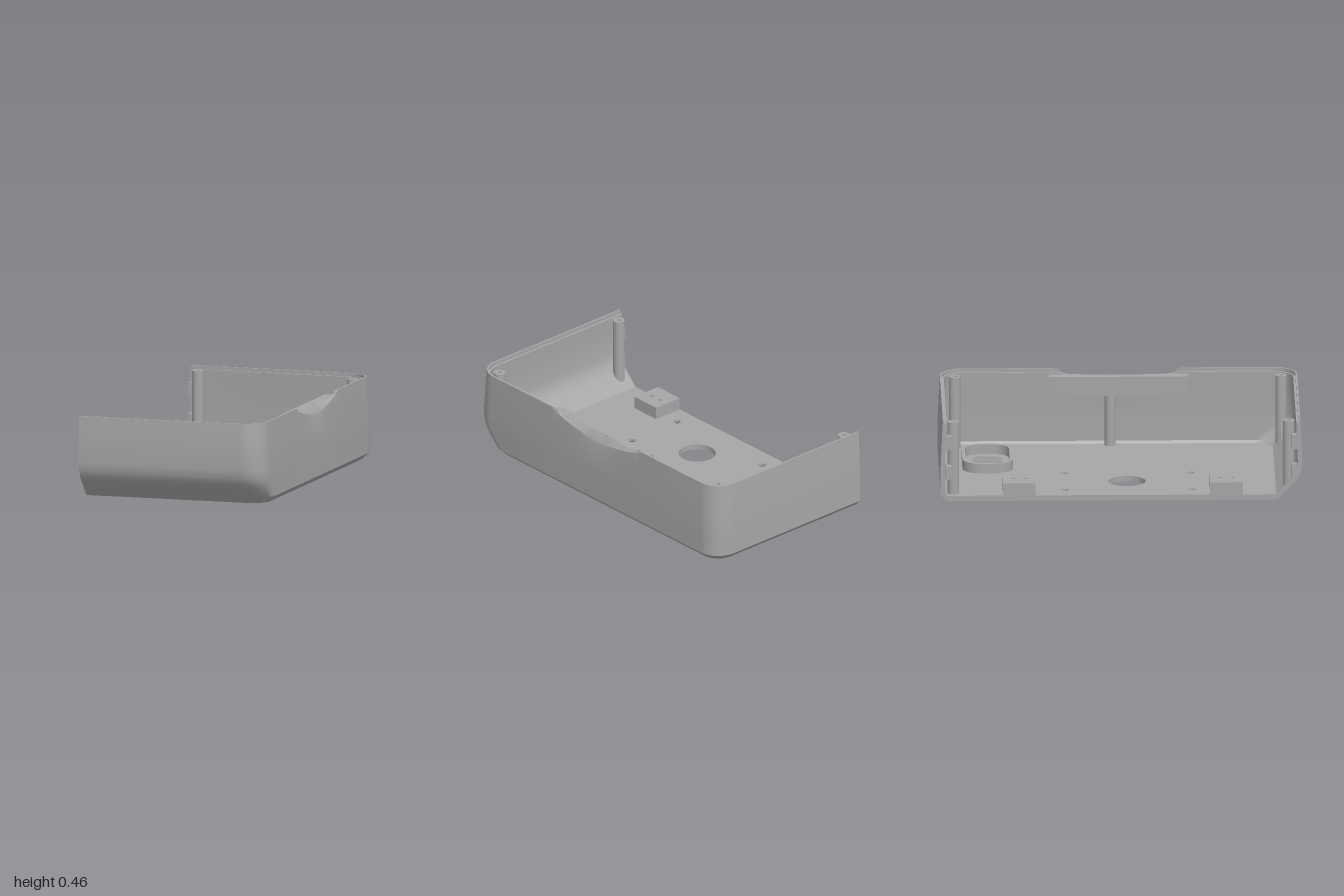
import * as THREE from 'three';
import { toCreasedNormals } from 'three/addons/utils/BufferGeometryUtils.js';

const X0 = -0.535; // open side of the half shell
const grey = new THREE.MeshStandardMaterial({ color: 0xa6a6a6, side: THREE.DoubleSide });
grey.name = 'grey plastic';

// Wall cross-section, up the outside and down the inside: [y, x side, z front, z back, corner radius]
const section = [
  [0, 0.5, 0.86, -0.965, 0.1], [0.035, 0.535, 0.895, -1, 0.13], [0.1, 0.535, 0.958, -1, 0.13],
  [0.125, 0.535, 0.977, -1, 0.13], [0.155, 0.535, 0.991, -1, 0.13], [0.2, 0.535, 1, -1, 0.13],
  [0.38, 0.527, 0.993, -0.992, 0.13], [0.46, 0.523, 0.988, -0.988, 0.13],
  [0.46, 0.513, 0.978, -0.978, 0.12], [0.44, 0.513, 0.978, -0.978, 0.12],
  [0.44, 0.501, 0.966, -0.966, 0.105], [0.38, 0.503, 0.968, -0.968, 0.105],
  [0.2, 0.51, 0.975, -0.975, 0.105], [0.165, 0.51, 0.967, -0.975, 0.105],
  [0.135, 0.51, 0.953, -0.975, 0.105], [0.11, 0.51, 0.935, -0.975, 0.105],
  [0.045, 0.51, 0.87, -0.975, 0.105], [0.03, 0.5, 0.855, -0.965, 0.1],
];
const TOP = 7;

// Finger notch in the rim and the scoop below it
const SCOOP = 0.36;
function notch(z) {
  const s = THREE.MathUtils.clamp((Math.abs(z) - 0.29) / 0.04, 0, 1);
  return 0.43 + 0.03 * (1 - Math.sqrt(1 - s * s));
}
const scoopY = (z) => 0.39 + 0.06 * (z / SCOOP) ** 2;
const scoopX = (z) => 0.523 - 0.035 * (1 - (z / SCOOP) ** 2);

// Points of one level, running from the front wall round the side to the back wall
function outline([y, xr, zf, zb, r], k) {
  const pts = [[X0, y, zf]];
  const corner = (zc, from) => {
    for (let i = 0; i <= 10; i++) {
      const a = from - (i / 10) * Math.PI / 2;
      pts.push([xr - r + r * Math.cos(a), y, zc + r * Math.sin(a)]);
    }
  };
  corner(zf - r, Math.PI / 2);
  for (let i = 0; i <= 48; i++) {
    const z = SCOOP * (1 - i / 24);
    const inside = i > 0 && i < 48;
    let px = xr, py = y;
    if (inside && k === TOP) py = Math.min(notch(z), scoopY(z));
    if (inside && (k === TOP + 1 || k === TOP + 2)) {
      py = Math.min(y, notch(z));
      px = Math.min(xr, scoopX(z));
    }
    if (inside && k === TOP + 3) py = Math.min(y, notch(z), scoopY(z));
    pts.push([px, py, z]);
  }
  corner(zb + r, 0);
  pts.push([X0, y, zb]);
  return pts;
}

function wallGeometry() {
  const rows = section.map(outline);
  const pos = [];
  const tri = (a, b, c) => {
    const [A, B, C] = [a, b, c].map((p) => new THREE.Vector3(...p));
    if (B.sub(A).cross(C.sub(A)).length() > 1e-9) pos.push(...a, ...b, ...c);
  };
  const n = rows[0].length;
  for (let k = 0; k < rows.length - 1; k++) {
    for (let i = 0; i < n - 1; i++) {
      const a = rows[k][i], b = rows[k][i + 1], c = rows[k + 1][i + 1], d = rows[k + 1][i];
      tri(a, b, c);
      tri(a, c, d);
    }
  }
  // cut faces where the walls stop at the open side
  for (const i of [0, n - 1]) {
    const loop = rows.map((row) => row[i]);
    const faces = THREE.ShapeUtils.triangulateShape(loop.map((p) => new THREE.Vector2(p[2], p[1])), []);
    for (const [a, b, c] of faces) {
      const A = loop[a], B = loop[b], C = loop[c];
      const turn = (B[1] - A[1]) * (C[2] - A[2]) - (B[2] - A[2]) * (C[1] - A[1]);
      if (turn < 0) tri(A, B, C); else tri(A, C, B);
    }
  }
  const g = new THREE.BufferGeometry();
  g.setAttribute('position', new THREE.Float32BufferAttribute(pos, 3));
  return toCreasedNormals(g, Math.PI / 7);
}

// Plan shapes take (x, z) points and are extruded upwards
const plan = (pts, Type = THREE.Shape) => new Type(pts.map(([x, z]) => new THREE.Vector2(x, -z)));
const rect = (x0, x1, z0, z1, Type) => plan([[x0, z0], [x1, z0], [x1, z1], [x0, z1]], Type);
function disc(x, z, r) {
  return new THREE.Path().absarc(x, -z, r, 0, Math.PI * 2, true);
}
function roundRect(x0, x1, z0, z1, r, Type) {
  const p = new Type();
  p.absarc(x1 - r, -z0 - r, r, 0, Math.PI / 2);
  p.absarc(x0 + r, -z0 - r, r, Math.PI / 2, Math.PI);
  p.absarc(x0 + r, -z1 + r, r, Math.PI, Math.PI * 1.5);
  p.absarc(x1 - r, -z1 + r, r, Math.PI * 1.5, Math.PI * 2);
  p.closePath();
  return p;
}
function slab(shape, y0, y1) {
  const g = new THREE.ExtrudeGeometry(shape, { depth: y1 - y0, bevelEnabled: false, curveSegments: 16 });
  g.rotateX(-Math.PI / 2).translate(0, y0, 0);
  return toCreasedNormals(g, Math.PI / 7);
}

export function createModel() {
  const model = new THREE.Group();
  model.name = 'enclosureHalf';
  const add = (name, geometry) => {
    const mesh = new THREE.Mesh(geometry, grey);
    mesh.name = name;
    model.add(mesh);
    return mesh;
  };

  add('outerWall', wallGeometry());

  // Floor in two layers, so the screw holes are countersunk from below
  const screws = [[-0.425, -0.31], [-0.09, -0.31], [-0.425, 0.39], [-0.09, 0.39]];
  const floor = (name, y0, y1, r) => {
    const shape = plan(outline(section[0], 0).map((p) => [p[0], p[2]]));
    shape.holes.push(disc(-0.255, 0.035, 0.103));
    for (const [x, z] of screws) shape.holes.push(disc(x, z, r));
    for (let i = 0; i < 10; i++) {
      const x = -0.03 + i * 0.0295, trim = i === 0 || i === 9 ? 0.018 : 0;
      shape.holes.push(rect(x, x + 0.02, -0.81 + trim, -0.645 - trim, THREE.Path));
    }
    add(name, slab(shape, y0, y1));
  };
  floor('floorUnderside', 0, 0.015, 0.037);
  floor('floorTop', 0.015, 0.03, 0.02);
  for (const [x, z] of screws) {
    add('countersink', new THREE.CylinderGeometry(0.02, 0.037, 0.015, 24, 1, true)).position.set(x, 0.0075, z);
  }

  // Raised ring round the vent
  const ring = roundRect(-0.085, 0.32, -0.87, -0.59, 0.1, THREE.Shape);
  ring.holes.push(roundRect(-0.067, 0.302, -0.852, -0.608, 0.082, THREE.Path));
  add('ventRing', slab(ring, 0.03, 0.085));

  // Drilled mounting blocks on the open edge
  for (const z of [-0.565, 0.58]) {
    const block = rect(X0, -0.36, z - 0.09, z + 0.09);
    for (const d of [-0.033, 0.033]) block.holes.push(disc(-0.44, z + d, 0.012));
    add('mountingBlock', slab(block, 0.03, 0.1));
  }

  // Corner screw posts; the front pair is cut to stand on the sloping wall
  for (const [x, z] of [[-0.475, -0.93], [0.435, -0.905], [-0.475, 0.925], [0.435, 0.9]]) {
    const profile = [[0.032, 0.02], [0.032, 0.44], [0.013, 0.44], [0.013, 0.34], [0, 0.34]];
    const g = new THREE.LatheGeometry(profile.map(([r, y]) => new THREE.Vector2(r, y)), 24);
    const p = g.attributes.position;
    for (let i = 0; i < p.count; i++) {
      if (z > 0 && p.getY(i) < 0.1) p.setY(i, Math.max(0.02, z + p.getZ(i) - 0.842));
    }
    add('screwPost', toCreasedNormals(g.toNonIndexed(), Math.PI / 7)).position.set(x, 0, z);
  }

  // Bar behind the finger scoop, with its support post and small peg
  add('gripBarLower', slab(rect(0.445, 0.507, -0.385, 0.385), 0.32, 0.385));
  const edge = [[0.445, -0.385], [0.503, -0.385]];
  for (let i = 0; i <= 24; i++) {
    const z = SCOOP * (i / 12 - 1);
    edge.push([Math.min(0.503, scoopX(z)), z]);
  }
  edge.push([0.503, 0.385], [0.445, 0.385]);
  add('gripBarTop', slab(plan(edge), 0.385, 0.43));
  add('gripBarPost', new THREE.CylinderGeometry(0.03, 0.03, 0.3, 24)).position.set(0.478, 0.175, -0.045);
  add('gripPeg', new THREE.CylinderGeometry(0.01, 0.01, 0.012, 12)).position.set(0.483, 0.427, -0.045);

  // Locating tabs at the open ends of the front and back walls
  for (const side of [-1, 1]) {
    for (const y of [0.16, 0.33]) {
      add('locatingTab', new THREE.BoxGeometry(0.04, 0.08, 0.033)).position.set(-0.515, y, side * 0.955);
    }
  }
  return model;
}
